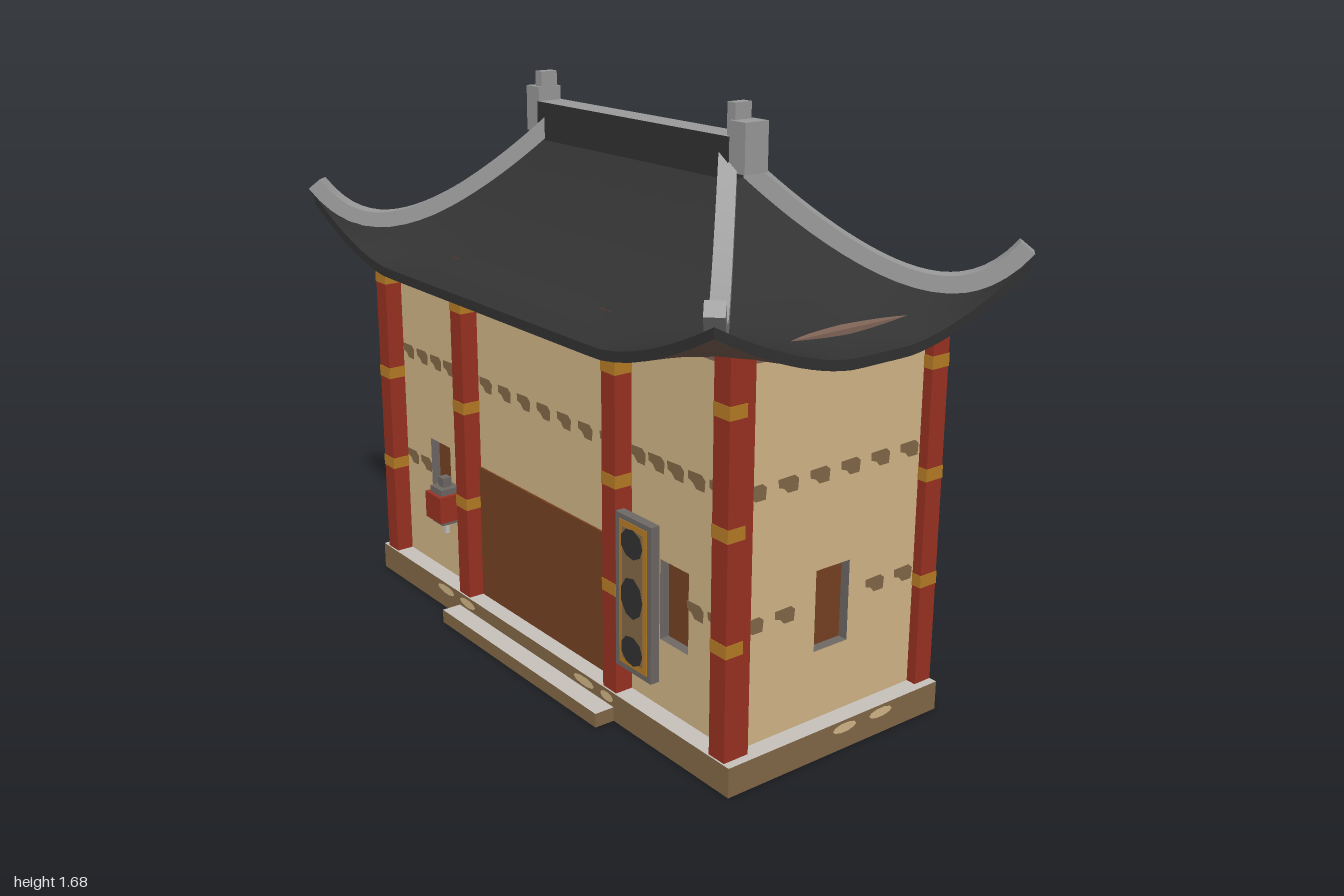
import * as THREE from 'three';

const mat = (name, color, side = THREE.FrontSide) =>
  Object.assign(new THREE.MeshStandardMaterial({ color, side }), { name });

export function createModel() {
  const M = {
    plaster: mat('plaster tan', 0xd7ba8b),
    earth: mat('earth brown', 0x866b49),
    red: mat('column red', 0x9c3322),
    gold: mat('band gold', 0xba7f26),
    door: mat('door brown', 0x784322),
    tile: mat('roof charcoal', 0x333333),
    ridge: mat('ridge grey', 0x9c9c9c),
    stone: mat('light stone', 0xc8c3bd),
    timber: mat('eave timber', 0x84685a, THREE.DoubleSide),
    frame: mat('frame grey', 0x706a66),
  };
  const model = new THREE.Group();
  model.name = 'hall';

  const add = (parent, name, geometry, material) => {
    const m = new THREE.Mesh(geometry, material);
    m.name = name;
    parent.add(m);
    return m;
  };
  // box given by its limits on each axis
  const box = (name, x0, x1, y0, y1, z0, z1, material, parent = model) => {
    const m = add(parent, name, new THREE.BoxGeometry(x1 - x0, y1 - y0, z1 - z0), material);
    m.position.set((x0 + x1) / 2, (y0 + y1) / 2, (z0 + z1) / 2);
    return m;
  };
  // grid surface from a rule f(u, v) with u and v in 0..1
  const grid = (nu, nv, f, flip = false) => {
    const pos = [], idx = [], row = nu + 1;
    for (let j = 0; j <= nv; j++) for (let i = 0; i <= nu; i++) pos.push(...f(i / nu, j / nv));
    for (let j = 0; j < nv; j++) for (let i = 0; i < nu; i++) {
      const a = j * row + i, b = a + row, c = a + 1, d = b + 1;
      if (flip) idx.push(a, c, b, c, d, b);
      else idx.push(a, b, c, c, b, d);
    }
    const g = new THREE.BufferGeometry();
    g.setAttribute('position', new THREE.Float32BufferAttribute(pos, 3));
    g.setIndex(idx);
    g.computeVertexNormals();
    return g;
  };

  // plinth and front step: earth sides, stone top
  const { earth, stone } = M;
  box('plinth', -0.9, 0.9, 0, 0.085, -0.365, 0.395, [earth, earth, stone, stone, earth, earth]);
  box('frontStep', -0.41, 0.41, 0, 0.042, 0.395, 0.457, [earth, earth, stone, earth, earth, earth]);

  // worn patches on the plinth
  const patch = new THREE.CircleGeometry(1, 10);
  const wear = (x, z, ry, w) => {
    const m = add(model, 'plinthWear', patch, M.plaster);
    m.position.set(x, 0.064, z);
    m.rotation.y = ry;
    m.scale.set(w, 0.014, 1);
  };
  for (const [x, w] of [[-0.49, 0.05], [-0.36, 0.045], [0.27, 0.05], [0.38, 0.03]]) wear(x, 0.397, 0, w);
  for (const x of [-0.25, 0.48]) wear(x, -0.367, Math.PI, 0.04);
  for (const z of [-0.01, -0.145]) wear(0.902, z, Math.PI / 2, 0.043);

  // walls with recessed windows and rows of weathering marks
  const wallZ = -0.0025, wallHalf = 0.3375;
  const walls = new THREE.Group();
  walls.name = 'walls';
  walls.position.z = wallZ;
  model.add(walls);
  box('innerPanel', -0.815, 0.815, 0.09, 1.13, 0.03 - wallHalf, wallHalf - 0.03, M.door, walls);
  const mark = new THREE.ShapeGeometry(new THREE.Shape(
    [[-0.035, 0.018], [-0.033, -0.004], [-0.015, -0.01], [-0.002, -0.024], [0.032, -0.024], [0.035, 0.008], [0.02, 0.02]]
      .map(p => new THREE.Vector2(...p))));
  const wall = (name, half, dist, turn, windows, marks, hasDoor) => {
    const g = new THREE.Group();
    g.name = name;
    g.rotation.y = turn;
    walls.add(g);
    const rect = (x0, x1, y0, y1) =>
      [[x0, y0], [x1, y0], [x1, y1], [x0, y1]].map(p => new THREE.Vector2(...p));
    const s = new THREE.Shape(rect(-half, half, 0.085, 1.14));
    for (const w of windows) s.holes.push(new THREE.Path(rect(w - 0.06, w + 0.06, 0.285, 0.517).reverse()));
    const panel = add(g, 'wallPanel', new THREE.ExtrudeGeometry(s, { depth: 0.03, bevelEnabled: false }), [M.plaster, M.frame]);
    panel.position.z = dist - 0.03;
    for (const y of [0.425, 0.785, 1.143]) for (const x of marks) {
      if (y < 0.5 && (windows.some(w => Math.abs(x - w) < 0.082) || (hasDoor && Math.abs(x) < 0.4))) continue;
      add(g, 'wallMark', mark, M.earth).position.set(x, y, dist + 0.003);
    }
  };
  const span = (n, step) => Array.from({ length: n }, (_, i) => (i - (n - 1) / 2) * step);
  const bay = [0.445, 0.525, 0.605, 0.69, 0.775];
  wall('frontWall', 0.845, wallHalf, 0, [-0.6, 0.6], [...bay.map(x => -x), ...span(7, 0.103), ...bay], true);
  wall('backWall', 0.845, wallHalf, Math.PI, [-0.42, 0.42], span(16, 0.103), false);
  for (const s of [-1, 1])
    wall('sideWall', wallHalf, 0.845, s * Math.PI / 2, [s * wallZ], span(6, 0.108).map(x => x - s * 0.01), false);

  box('door', -0.36, 0.36, 0.085, 0.51, 0.334, 0.341, M.door);

  // columns with gold bands
  const column = (x, z0, z1, bandZ) => {
    box('column', x - 0.03, x + 0.03, 0.085, 1.17, z0, z1, M.red);
    for (const y of [0.395, 0.705, 1.02])
      box('columnBand', x - 0.0315, x + 0.0315, y - 0.018, y + 0.018, bandZ, z1 + 0.0015, M.gold);
  };
  for (const s of [-1, 1]) {
    for (const x of [0.385, 0.845]) column(s * x, 0.31, 0.39, 0.335);
    for (const x of [0.28, 0.845]) column(s * x, -0.365, -0.305, -0.3665);
  }
  box('eaveBeam', -0.873, 0.873, 1.13, 1.166, -0.375, 0.375, M.timber);

  // hipped roof: height sags from ridge to eave and sweeps up near the corners
  const L = THREE.MathUtils.lerp;
  const height = (v, d) =>
    1.13 + 0.355 * Math.pow(1 - v, 1.8) +
    0.152 * Math.pow(v, 5) * Math.pow(Math.max(0, 1 - d / 0.45), 1.6);
  const ridgeX = 0.44, ridgeZ = 0.04, eaveX = 0.985, eaveZ = 0.535;
  const slope = (a0, a1, o0, o1, turn) => {
    const at = (u, v, drop) => {
      const w = L(a0, a1, v), x = (2 * u - 1) * w;
      return [x, height(v, w - Math.abs(x)) - drop, L(o0, o1, v)];
    };
    const g = new THREE.Group();
    g.name = 'roofSlope';
    g.rotation.y = turn;
    model.add(g);
    add(g, 'roofTiles', grid(32, 16, (u, v) => at(u, v, 0)), M.tile);
    add(g, 'eaveEdge', grid(32, 1, (u, v) => at(u, 1, 0.028 * v)), M.tile);
    add(g, 'soffit', grid(32, 16, (u, v) => at(u, v, 0.028), true), M.timber);
  };
  for (const t of [0, Math.PI]) {
    slope(ridgeX, eaveX, ridgeZ, eaveZ, t);
    slope(ridgeZ, eaveZ, ridgeX, eaveX, t + Math.PI / 2);
  }

  // hip ridges: a square bar swept square to its path, one strip per side
  const run = new THREE.Vector2(eaveX - ridgeX, eaveZ - ridgeZ);
  const length = run.length();
  run.normalize();
  const hipHeight = s => height(s, 0) + 0.013 + 0.04 * s ** 6;
  const hipCorner = (t, k, sx, sz) => {
    const s = L(-0.05, 0.985, t);
    const side = [1, -1, -1, 1][k % 4] * 0.025, up = [1, 1, -1, -1][k % 4] * 0.024;
    const tilt = Math.atan2(hipHeight(s + 0.01) - hipHeight(s - 0.01), 0.02 * length);
    const along = s * length - up * Math.sin(tilt);
    return [
      sx * (ridgeX + run.x * along + run.y * side),
      hipHeight(s) + up * Math.cos(tilt),
      sz * (ridgeZ + run.y * along - run.x * side),
    ];
  };
  const mix = (a, b, t) => a.map((c, i) => L(c, b[i], t));
  for (const sx of [-1, 1]) for (const sz of [-1, 1]) {
    const flip = sx * sz > 0;
    const corner = (t, k) => hipCorner(t, k, sx, sz);
    for (let k = 0; k < 4; k++)
      add(model, 'hipRidge', grid(1, 24, (u, v) => mix(corner(v, k), corner(v, k + 1), u), flip), M.ridge);
    add(model, 'hipRidgeEnd', grid(1, 1, (u, v) =>
      mix(mix(corner(1, 0), corner(1, 1), u), mix(corner(1, 3), corner(1, 2), u), v), flip), M.ridge);
  }

  // main ridge with grey top and end ornaments
  const { tile, ridge } = M;
  box('mainRidge', -0.445, 0.445, 1.46, 1.593, -0.044, 0.044, [tile, tile, ridge, tile, tile, tile]);
  for (const s of [-1, 1]) {
    const m = box('ridgeEnd', -0.033, 0.033, 1.5, 1.635, -0.04, 0.04, ridge);
    m.position.x = s * 0.475;
  }
  for (const x of [-0.46, 0.437]) box('ridgeFinial', x - 0.016, x + 0.016, 1.59, 1.68, -0.028, 0.028, ridge);

  // hanging board with three dark medallions
  box('boardFrame', 0.43, 0.584, 0.187, 0.635, 0.372, 0.4, M.frame);
  box('boardPanel', 0.447, 0.567, 0.204, 0.62, 0.4, 0.402, M.gold);
  box('boardInset', 0.463, 0.551, 0.222, 0.603, 0.402, 0.404, M.earth);
  for (const y of [0.256, 0.41, 0.565]) {
    const m = add(model, 'boardMedallion', new THREE.CircleGeometry(1, 9), M.tile);
    m.position.set(0.507, y, 0.406);
    m.scale.set(0.048, y === 0.41 ? 0.06 : 0.043, 1);
  }

  // lantern
  const lantern = (name, r, y0, y1, material) =>
    box(name, -0.485 - r, -0.485 + r, y0, y1, 0.39 - r, 0.39 + r, material);
  lantern('lanternBody', 0.045, 0.315, 0.4, M.red);
  lantern('lanternTop', 0.033, 0.4, 0.42, M.frame);
  lantern('lanternNeck', 0.015, 0.42, 0.45, M.frame);
  lantern('lanternBase', 0.03, 0.3, 0.315, M.frame);
  lantern('lanternTassel', 0.007, 0.262, 0.3, M.stone);

  return model;
}
